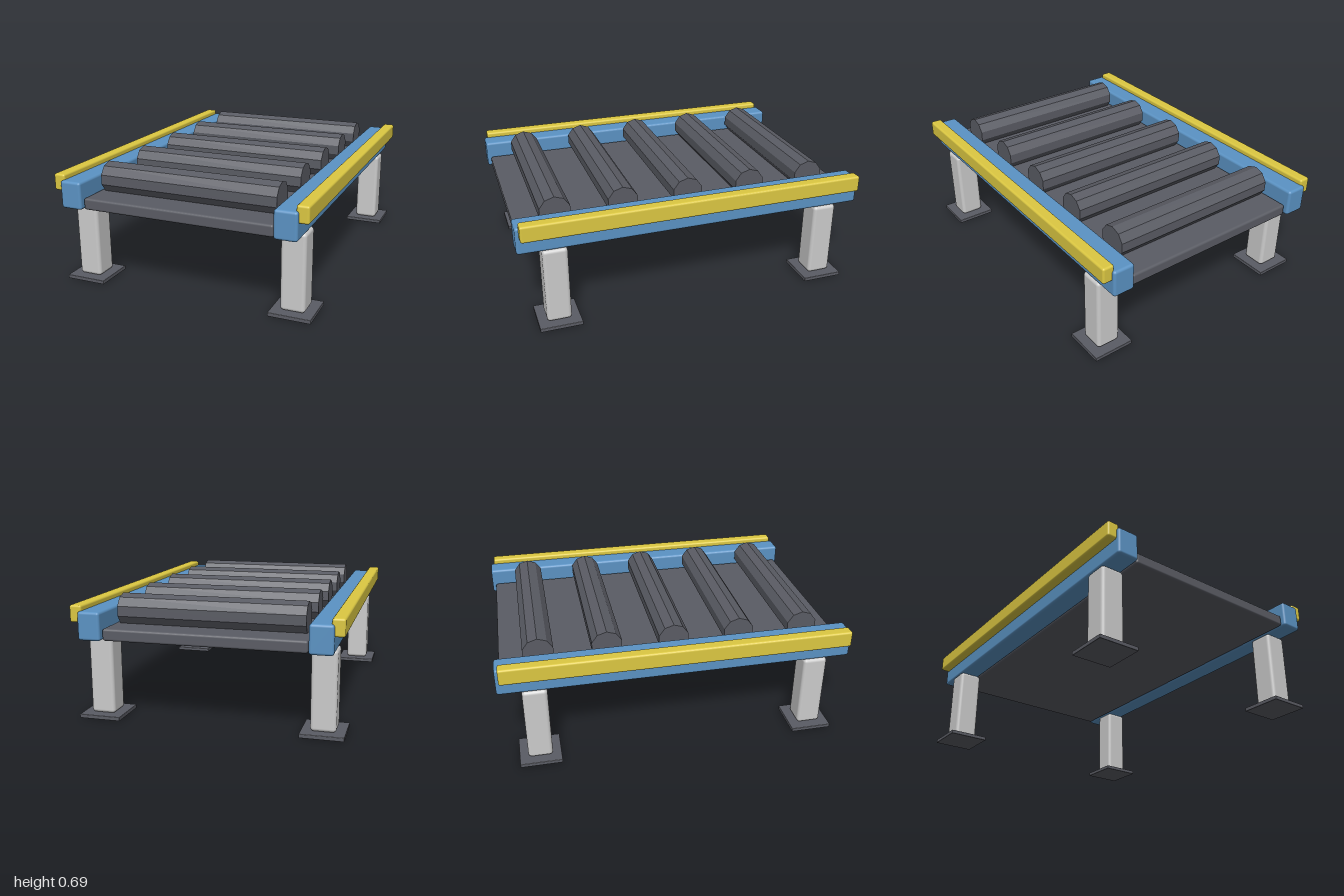
import * as THREE from 'three';
import { RoundedBoxGeometry } from 'three/addons/geometries/RoundedBoxGeometry.js';

export function createModel() {
  const model = new THREE.Group();
  model.name = 'rollerConveyor';

  const paint = (color, flatShading = false) => new THREE.MeshStandardMaterial({ color, flatShading });
  const grey = paint(0xcccccc);
  const blue = paint(0x5b93c4);
  const yellow = paint(0xdcc842);
  const dark = paint(0x5a5c64);
  const darkFaceted = paint(0x5a5c64, true);

  // Rounded box given by its size, centre and edge radius
  function block(name, material, [w, h, d], [x, y, z], radius) {
    const mesh = new THREE.Mesh(new RoundedBoxGeometry(w, h, d, 3, radius), material);
    mesh.position.set(x, y, z);
    mesh.name = name;
    model.add(mesh);
  }

  // Bed under the rollers
  block('bed', dark, [1.1, 0.066, 1.958], [0, 0.497, 0], 0.013);

  // Ten-sided rollers with an edge on top, sunk slightly into the bed
  const rollerGeometry = new THREE.CylinderGeometry(0.089, 0.089, 1.036, 10).rotateZ(Math.PI / 2);
  for (let i = -2; i <= 2; i++) {
    const roller = new THREE.Mesh(rollerGeometry, darkFaceted);
    // Turn the profile so that one edge points straight up
    roller.position.set(0, 0.601, i * 0.38);
    roller.name = 'roller';
    model.add(roller);
  }
  // The cylinder starts on its z axis; a quarter turn puts that edge on y
  rollerGeometry.rotateX(Math.PI / 2);

  for (const side of [-1, 1]) {
    const label = side > 0 ? 'left' : 'right';
    // Side beam and the guard strip along its outer top edge
    block(label + 'SideRail', blue, [0.126, 0.156, 2], [side * 0.618, 0.542, 0], 0.015);
    block(label + 'GuardRail', yellow, [0.068, 0.094, 1.96], [side * 0.699, 0.603, 0], 0.012);

    // Legs with flat foot plates
    for (const end of [-1, 1]) {
      const place = label + (end > 0 ? 'Front' : 'Back');
      block(place + 'Leg', grey, [0.138, 0.442, 0.138], [side * 0.617, 0.243, end * 0.8], 0.02);
      block(place + 'Foot', dark, [0.237, 0.022, 0.237], [side * 0.617, 0.011, end * 0.8], 0.003);
    }
  }

  return model;
}
